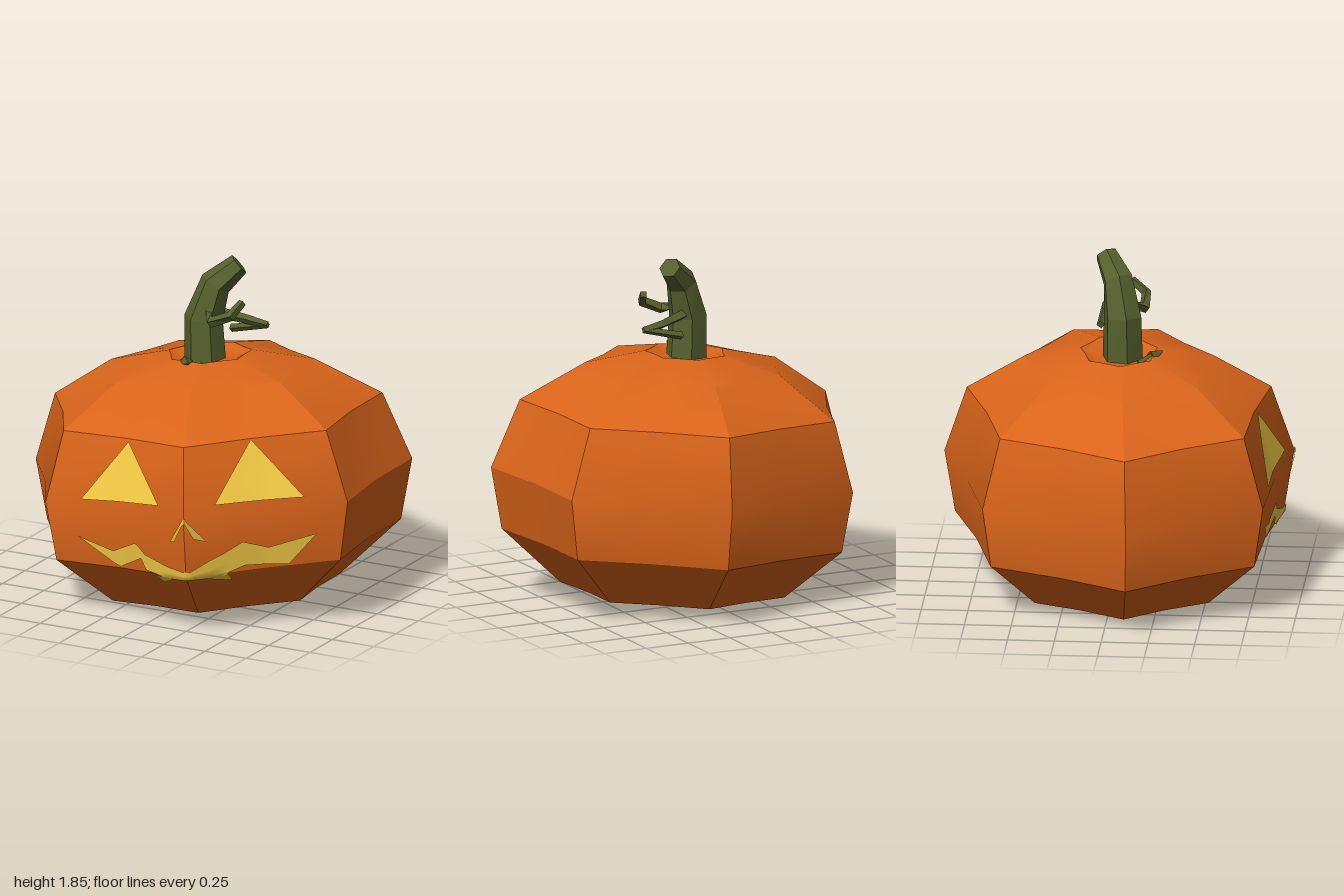
import * as THREE from 'three';
import { toCreasedNormals } from 'three/addons/utils/BufferGeometryUtils.js';

const V = (x, y, z) => new THREE.Vector3(x, y, z);
const material = (color, side = THREE.FrontSide) => new THREE.MeshStandardMaterial({ color, side });

// Skin a stack of closed rings; both ends are closed with a fan to their centre
function loft(rings) {
  const pos = [];
  const tri = (...p) => p.forEach(v => pos.push(v.x, v.y, v.z));
  const n = rings[0].length;
  const middle = r => r.reduce((s, p) => s.add(p), V(0, 0, 0)).divideScalar(n);
  const first = rings[0], last = rings[rings.length - 1];
  const c0 = middle(first), c1 = middle(last);
  for (let j = 0; j < n; j++) {
    const k = (j + 1) % n;
    tri(c0, first[k], first[j]);
    for (let i = 0; i < rings.length - 1; i++) {
      const a = rings[i], b = rings[i + 1];
      tri(a[j], a[k], b[k]);
      tri(a[j], b[k], b[j]);
    }
    tri(c1, last[j], last[k]);
  }
  const g = new THREE.BufferGeometry();
  g.setAttribute('position', new THREE.Float32BufferAttribute(pos, 3));
  return g;
}

// Faceted stalk along [x, y, z, radius] points
function stalk(points, sides) {
  const p = points.map(q => V(q[0], q[1], q[2]));
  const rings = p.map((c, i) => {
    const t = p[Math.min(i + 1, p.length - 1)].clone().sub(p[Math.max(i - 1, 0)]).normalize();
    const u = V(0.3, 0.2, 1).cross(t).normalize();
    const v = t.clone().cross(u);
    return Array.from({ length: sides }, (_, j) => {
      const a = j / sides * Math.PI * 2, r = points[i][3];
      return c.clone().addScaledVector(u, Math.cos(a) * r).addScaledVector(v, Math.sin(a) * r);
    });
  });
  const g = loft(rings);
  g.computeVertexNormals();
  return g;
}

// Seven-ribbed, slightly leaning shell
function bodyGeometry() {
  const ribs = [[0.2, -0.93], [-0.66, -0.66], [-1, 0.13], [-0.56, 0.83], [0.33, 0.93], [1, 0.33], [0.94, -0.5]];
  const outline = [];
  ribs.forEach((r, i) => {
    const q = ribs[(i + 1) % ribs.length];
    outline.push(r, [(r[0] + q[0]) / 2 * 0.975, (r[1] + q[1]) / 2 * 0.975]);
  });
  // scale, height, centre x
  const levels = [[0.25, 0.06, 0.05], [0.62, 0.045, 0.05], [0.94, 0.33, 0.04], [1, 0.665, 0.036],
    [0.87, 1.04, 0.01], [0.54, 1.25, -0.01], [0.22, 1.322, -0.01], [0.16, 1.295, -0.01]];
  const rings = levels.map(([s, y, cx]) => outline.map(([x, z]) => {
    const px = cx + (x - 0.036) * s;
    return V(px, y + px * 0.065, 0.02 + (z - 0.02) * s);
  }));
  return toCreasedNormals(loft(rings), 0.5);
}

// Thin patch laid on the body; columns are [x, bottom y, top y]
function drape(body, columns) {
  const ray = new THREE.Raycaster();
  const rows = 4, steps = 6, grid = [];
  const column = ([x, lo, hi]) => Array.from({ length: rows + 1 }, (_, r) => {
    const y = lo + (hi - lo) * r / rows;
    ray.set(V(x, y, 3), V(0, 0, -1));
    const hit = ray.intersectObject(body)[0];
    const p = hit ? hit.point : V(x, y, 0.5);
    return hit ? p.addScaledVector(hit.face.normal, 0.009) : p;
  });
  for (let i = 0; i < columns.length - 1; i++) {
    for (let s = i ? 1 : 0; s <= steps; s++) {
      grid.push(column(columns[i].map((a, k) => a + (columns[i + 1][k] - a) * s / steps)));
    }
  }
  const pos = [], index = [], w = rows + 1;
  grid.flat().forEach(p => pos.push(p.x, p.y, p.z));
  for (let i = 0; i < grid.length - 1; i++) {
    for (let r = 0; r < rows; r++) {
      const a = i * w + r;
      index.push(a, a + w, a + w + 1, a, a + w + 1, a + 1);
    }
  }
  const g = new THREE.BufferGeometry();
  g.setAttribute('position', new THREE.Float32BufferAttribute(pos, 3));
  g.setIndex(index);
  g.computeVertexNormals();
  return g;
}

export function createModel() {
  const group = new THREE.Group();
  const add = (name, geometry, mat) => {
    const mesh = new THREE.Mesh(geometry, mat);
    mesh.name = name;
    group.add(mesh);
    return mesh;
  };
  const orange = material(0xd9641a, THREE.DoubleSide);
  const yellow = material(0xf5cc45, THREE.DoubleSide);
  const green = material(0x56602e);
  green.flatShading = true;

  const body = add('pumpkinBody', bodyGeometry(), orange);
  body.updateMatrixWorld();

  // Carved face
  const face = {
    rightEye: [[-0.34, 0.68, 0.68], [-0.09, 0.708, 1.02], [0.16, 0.735, 0.735]],
    leftEye: [[0.44, 0.755, 0.755], [0.53, 0.758, 1.07], [0.81, 0.765, 0.765]],
    noseRight: [[0.235, 0.55, 0.55], [0.265, 0.56, 0.6], [0.33, 0.675, 0.70]],
    noseLeft: [[0.33, 0.675, 0.70], [0.36, 0.58, 0.65], [0.41, 0.56, 0.56]],
    mouth: [[-0.37, 0.47, 0.47], [-0.15, 0.35, 0.42], [-0.11, 0.335, 0.44], [0, 0.395, 0.495],
      [0.03, 0.41, 0.47], [0.06, 0.35, 0.44], [0.2, 0.33, 0.4], [0.33, 0.34, 0.385],
      [0.42, 0.34, 0.45], [0.47, 0.36, 0.48], [0.55, 0.4, 0.54], [0.65, 0.395, 0.495],
      [0.73, 0.39, 0.52], [0.86, 0.56, 0.56]],
    toothRight: [[0.12, 0.325, 0.34], [0.15, 0.29, 0.335], [0.22, 0.325, 0.335]],
    toothLeft: [[0.39, 0.34, 0.35], [0.47, 0.31, 0.365], [0.48, 0.33, 0.37]],
  };
  for (const [name, columns] of Object.entries(face)) add(name, drape(body, columns), yellow);

  // Bent stem with its tendrils
  add('stem', stalk([[-0.02, 1.26, 0.04, 0.113], [-0.03, 1.52, 0.04, 0.105],
    [0.025, 1.71, 0.01, 0.085], [0.13, 1.815, -0.06, 0.06]], 6), green);
  add('curledTendril', stalk([[0.02, 1.57, 0.08, 0.03], [0.075, 1.54, 0.15, 0.03],
    [0.19, 1.59, 0.15, 0.027], [0.22, 1.65, 0.07, 0.022]], 4), green);
  add('foldedTendril', stalk([[0.03, 1.54, -0.02, 0.03], [0.18, 1.51, -0.065, 0.025],
    [0.295, 1.495, -0.075, 0.018]], 4), green);
  add('foldedTendrilReturn', stalk([[0.295, 1.495, -0.075, 0.018], [0.07, 1.44, -0.085, 0.022]], 4), green);
  add('baseSprout', stalk([[-0.11, 1.29, 0.13, 0.015], [-0.05, 1.31, 0.2, 0.02]], 4), green);
  add('sproutTip', stalk([[-0.055, 1.305, 0.195, 0.04], [-0.01, 1.325, 0.25, 0.006]], 4), green);

  return group;
}
